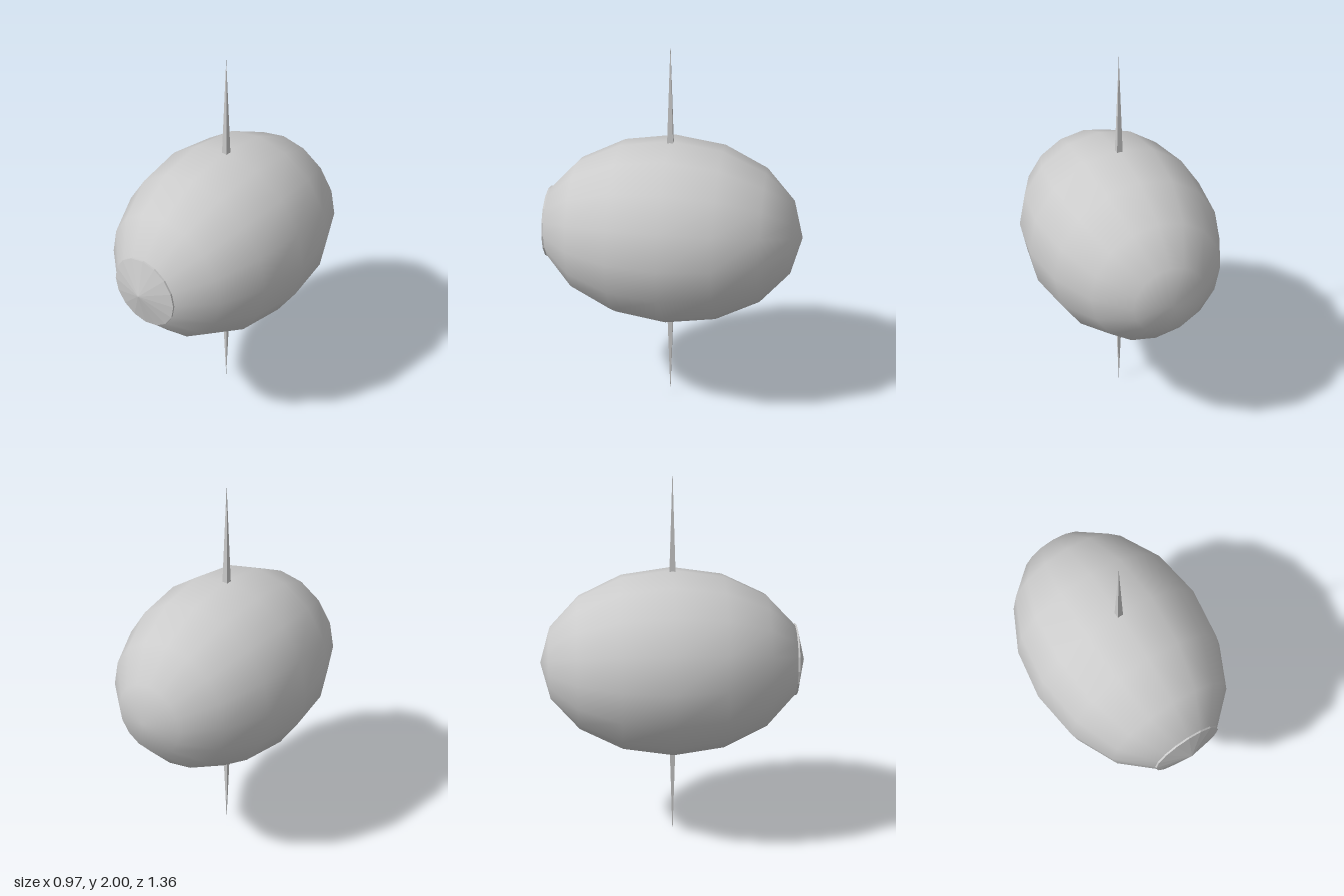
import * as THREE from 'three';

const R = 0.486, LEN = 0.68, CY = 1.0;

export function createModel() {
  const model = new THREE.Group();
  const material = new THREE.MeshStandardMaterial({ color: 0xcccccc });
  const flat = new THREE.MeshStandardMaterial({ color: 0xcccccc, flatShading: true });

  function add(name, geometry, mat, y, z = 0) {
    const mesh = new THREE.Mesh(geometry, mat);
    mesh.name = name;
    mesh.position.set(0, y, z);
    model.add(mesh);
    return mesh;
  }

  // Egg-shaped hull: low-poly smooth ellipsoid, poles along z
  const hull = new THREE.SphereGeometry(1, 16, 8);
  hull.rotateX(Math.PI / 2);
  hull.scale(R, R, LEN);
  add('hull', hull, material, CY);

  // Round front window: thin rim and a very shallow cone
  const r = R * Math.sin(Math.PI / 8);
  const z = LEN * Math.cos(Math.PI / 8);
  const rim = new THREE.CylinderGeometry(r, r, 0.01, 16, 1, true);
  rim.rotateX(Math.PI / 2);
  add('windowRim', rim, flat, CY, z + 0.004);
  const cap = new THREE.ConeGeometry(r, LEN - z - 0.008, 16, 1, true);
  cap.rotateX(Math.PI / 2);
  add('window', cap, flat, CY, (LEN + z + 0.009) / 2);

  // Long four-sided antenna spikes above and below
  for (const side of [1, -1]) {
    const spike = new THREE.ConeGeometry(0.0155 * Math.SQRT2, 0.54, 4);
    spike.rotateY(Math.PI / 4);
    if (side < 0) spike.rotateX(Math.PI);
    add(side > 0 ? 'topSpike' : 'bottomSpike', spike, flat, CY + side * 0.73);
  }
  return model;
}
